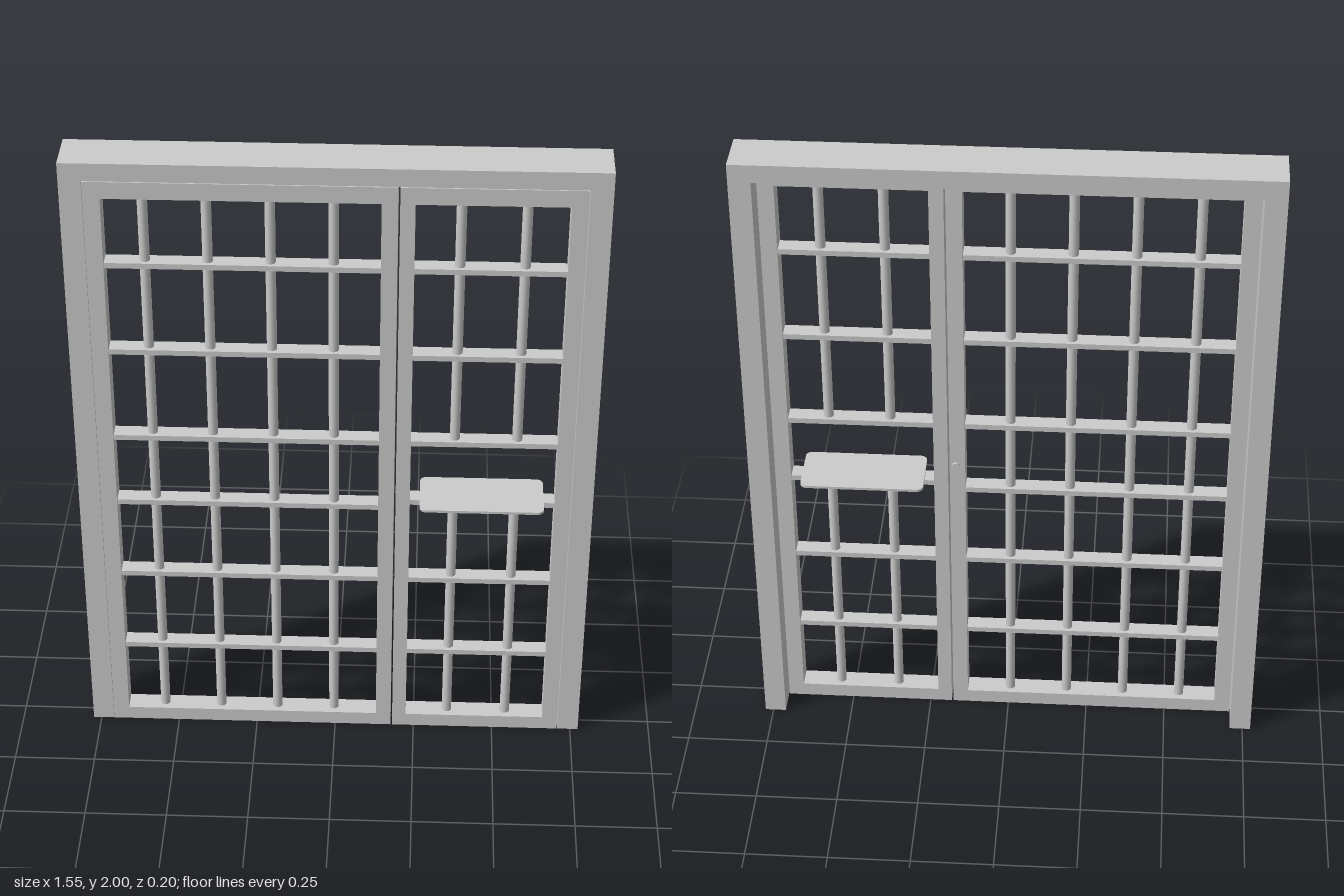
import * as THREE from 'three';

const material = new THREE.MeshStandardMaterial({ color: 0xcccccc });
const FRONT = 0.045, BACK = -0.1, PANEL_BACK = -0.02;
const BOTTOM = 0.045, TOP = 1.89, BAR_Z = 0.012;

function add(parent, name, geometry, x = 0, y = 0, z = 0) {
  const mesh = new THREE.Mesh(geometry, material);
  mesh.name = name;
  mesh.position.set(x, y, z);
  parent.add(mesh);
  return mesh;
}

function rectangle(target, x0, x1, y0, y1) {
  target.moveTo(x0, y0);
  target.lineTo(x1, y0);
  target.lineTo(x1, y1);
  target.lineTo(x0, y1);
  target.closePath();
  return target;
}

// Flat shape pushed from z0 to z1
function slab(shape, z0, z1) {
  return new THREE.ExtrudeGeometry(shape, { depth: z1 - z0, bevelEnabled: false, curveSegments: 6 })
    .translate(0, 0, z0);
}

// Rectangular leaf with a window, filled with flat rails and round bars
function gatePanel(name, outer, opening, railHeights, barXs, barSpans) {
  const panel = new THREE.Group();
  panel.name = name;
  const shape = rectangle(new THREE.Shape(), outer[0], outer[1], 0, 1.943);
  shape.holes.push(rectangle(new THREE.Path(), opening[0], opening[1], BOTTOM, TOP));
  add(panel, 'panelFrame', slab(shape, PANEL_BACK, FRONT));

  const width = opening[1] - opening[0];
  for (const y of railHeights) {
    add(panel, 'crossRail', new THREE.BoxGeometry(width, 0.017, 0.05),
      (opening[0] + opening[1]) / 2, y, BAR_Z);
  }
  for (const x of barXs) {
    for (const [y0, y1] of barSpans) {
      add(panel, 'verticalBar', new THREE.CylinderGeometry(0.015, 0.015, y1 - y0, 16),
        x, (y0 + y1) / 2, BAR_Z);
    }
  }
  return panel;
}

export function createModel() {
  const model = new THREE.Group();
  model.name = 'barredGate';

  // Outer frame, open at the floor
  const frame = new THREE.Shape();
  [[-0.775, 0], [-0.71, 0], [-0.71, 1.945], [0.71, 1.945], [0.71, 0], [0.775, 0], [0.775, 2], [-0.775, 2]]
    .forEach(([x, y], i) => (i ? frame.lineTo(x, y) : frame.moveTo(x, y)));
  add(model, 'outerFrame', slab(frame, BACK, FRONT));

  // Fixed side
  model.add(gatePanel('fixedPanel', [-0.709, 0.177], [-0.66, 0.13],
    [0.295, 0.575, 0.845, 1.08, 1.38, 1.67],
    [-0.545, -0.365, -0.185, -0.005], [[BOTTOM, TOP]]));

  // Door with a gap in its bars for the serving hatch
  const door = gatePanel('door', [0.182, 0.708], [0.225, 0.66],
    [0.295, 0.575, 0.867, 1.08, 1.38, 1.67],
    [0.355, 0.54], [[BOTTOM, 0.867], [1.08, TOP]]);
  model.add(door);

  // Hatch shelf with rounded corners
  const x0 = 0.255, x1 = 0.627, z0 = -0.075, z1 = 0.1, r = 0.02;
  const outline = new THREE.Shape();
  outline.moveTo(x0 + r, z0);
  outline.lineTo(x1 - r, z0);
  outline.absarc(x1 - r, z0 + r, r, -Math.PI / 2, 0);
  outline.absarc(x1 - r, z1 - r, r, 0, Math.PI / 2);
  outline.absarc(x0 + r, z1 - r, r, Math.PI / 2, Math.PI);
  outline.absarc(x0 + r, z0 + r, r, Math.PI, Math.PI * 1.5);
  add(door, 'hatchShelf', slab(outline, 0, 0.008).rotateX(Math.PI / 2), 0, 0.884, 0);

  // Lock barrel on the back of the middle post
  add(model, 'lockBarrel', new THREE.CylinderGeometry(0.012, 0.012, 0.01, 16).rotateX(Math.PI / 2),
    0.158, 0.94, PANEL_BACK - 0.002);

  return model;
}
